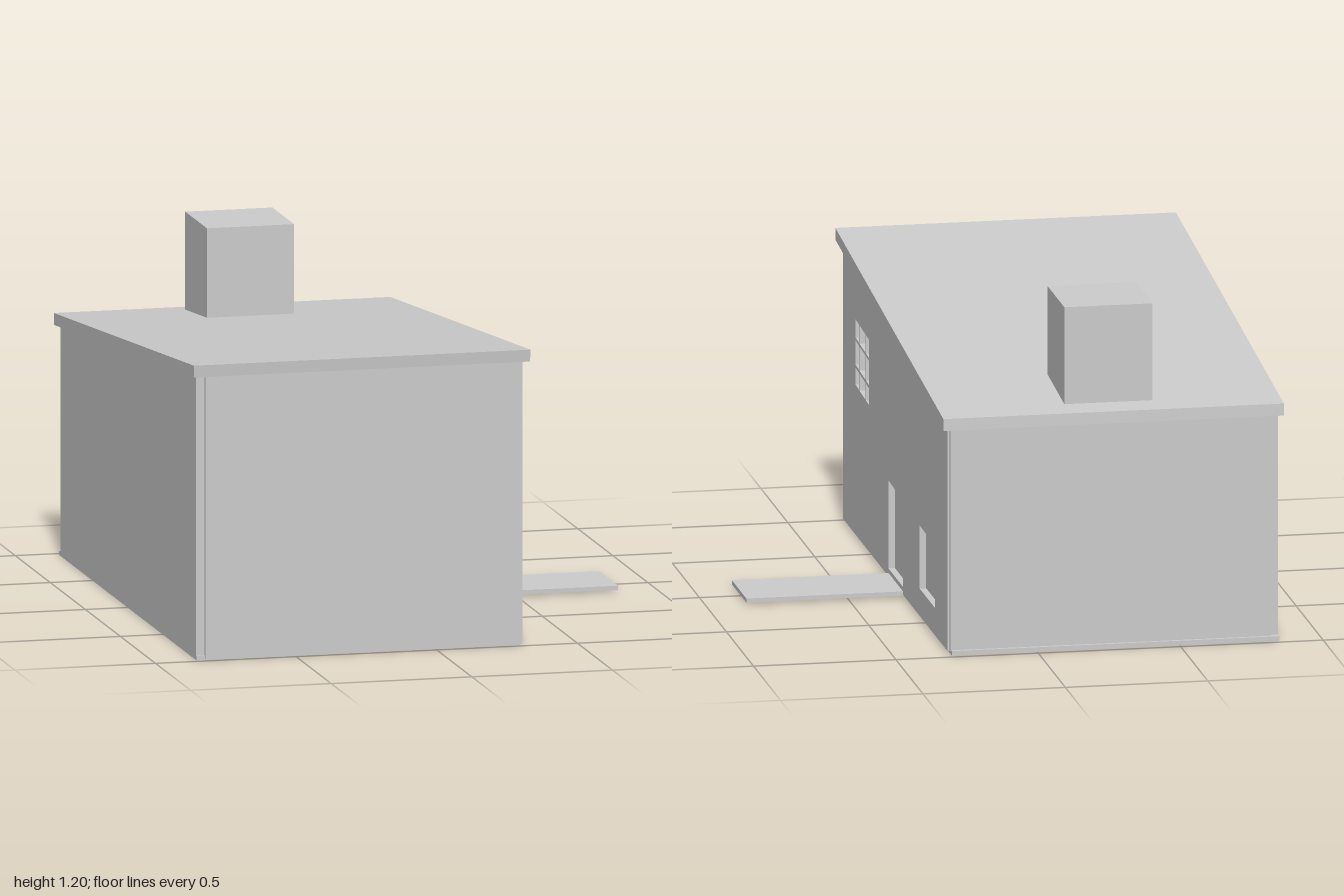
import * as THREE from 'three';

const material = new THREE.MeshStandardMaterial({ color: 0xcccccc, flatShading: true });

// Height of the sloping underside of the roof at depth z
const eave = (z) => 0.901 + 0.0965 * z;

function add(group, name, geometry) {
  const mesh = new THREE.Mesh(geometry, material);
  mesh.name = name;
  group.add(mesh);
  return mesh;
}

function box(group, name, [x0, x1], [y0, y1], [z0, z1]) {
  const mesh = add(group, name, new THREE.BoxGeometry(x1 - x0, y1 - y0, z1 - z0));
  mesh.position.set((x0 + x1) / 2, (y0 + y1) / 2, (z0 + z1) / 2);
  return mesh;
}

// Turn [z, y] points into shape points, so the extrusion runs along +x
const toPoints = (pts) => pts.map(([z, y]) => new THREE.Vector2(-z, y));

// Side profile extruded across the house, with optional openings
function slab(group, name, pts, x0, x1, openings = []) {
  const shape = new THREE.Shape(toPoints(pts));
  for (const o of openings) shape.holes.push(new THREE.Path(toPoints(o)));
  const geometry = new THREE.ExtrudeGeometry(shape, { depth: x1 - x0, bevelEnabled: false });
  geometry.rotateY(Math.PI / 2).translate(x0, 0, 0);
  return add(group, name, geometry);
}

// Wall outline between two depths, following the roof slope
const wall = (front, back, base = 0.01) => [
  [front, base], [back, base], [back, eave(back) + 0.005], [front, eave(front) + 0.005],
];

// Opening whose top edge drops slightly towards the back
const opening = (front, back, y0, y1, drop = 0) => [
  [front, y0], [front, y1], [back, y1 - drop], [back, y0],
];

export function createModel() {
  const house = new THREE.Group();
  house.name = 'house';

  // Floor plate
  box(house, 'floor', [-0.85, 0.3], [0, 0.016], [-0.98, 0.985]);

  // Inner core closes the recessed openings
  slab(house, 'core', wall(0.965, -0.945), -0.825, 0.287);

  // Front and back walls
  slab(house, 'frontWall', wall(0.99, 0.965, 0.004), -0.82, 0.303);
  slab(house, 'backWall', wall(-0.945, -0.968), -0.82, 0.303);

  // Left wall
  slab(house, 'leftWall', wall(0.977, -0.955), -0.85, -0.82);

  // Right wall with door, window and a nine-pane window
  const openings = [
    opening(0.142, -0.129, 0.038, 0.351, 0.008),
    opening(-0.437, -0.724, 0.107, 0.332, 0.007),
  ];
  const columns = [[0.747, 0.684], [0.673, 0.566], [0.555, 0.495]];
  const rows = [[0.71, 0.775], [0.614, 0.7], [0.543, 0.603]];
  for (const [front, back] of columns) {
    for (const [y0, y1] of rows) {
      const tilt = (z) => 0.05 * (z - 0.747);
      openings.push([
        [front, y0 + tilt(front)], [front, y1 + tilt(front)],
        [back, y1 + tilt(back)], [back, y0 + tilt(back)],
      ]);
    }
  }
  slab(house, 'rightWall', wall(0.982, -0.955), 0.28, 0.31, openings);

  // Sloping roof
  slab(house, 'roof', [
    [0.996, eave(0.996)], [-1, eave(-1)], [-0.998, eave(-1) + 0.042], [1, eave(1) + 0.042],
  ], -0.863, 0.333);

  // Chimney
  box(house, 'chimney', [-0.42, -0.11], [0.84, 1.2], [-0.902, -0.592]);

  // Entrance ramp
  box(house, 'ramp', [0.297, 0.86], [0.007, 0.022], [-0.131, 0.138]);

  return house;
}
